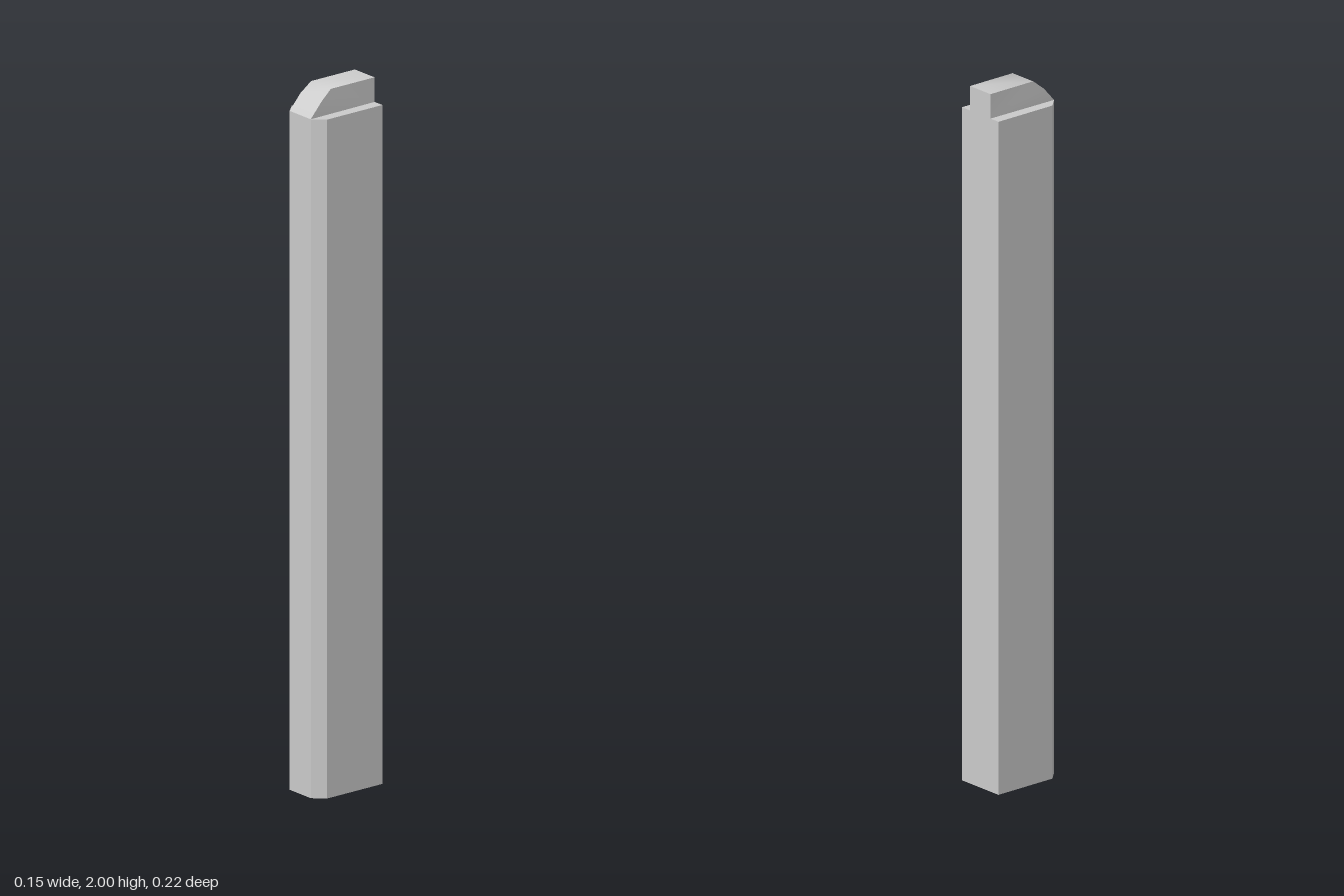
import * as THREE from 'three';
import { toCreasedNormals } from 'three/addons/utils/BufferGeometryUtils.js';

const material = new THREE.MeshStandardMaterial({ color: 0xcccccc });
const shoulder = 1.93;   // height of the post below the tongue
const halfDepth = 0.112;

function extrude(points, depth) {
  const shape = new THREE.Shape(points.map(([x, y]) => new THREE.Vector2(x, y)));
  return new THREE.ExtrudeGeometry(shape, { depth, bevelEnabled: false });
}

function addMesh(group, name, geometry) {
  const mesh = new THREE.Mesh(geometry, material);
  mesh.name = name;
  group.add(mesh);
}

export function createModel() {
  const group = new THREE.Group();
  group.name = 'post';

  // Post: plan outline with two chamfered front corners
  const post = extrude([
    [-0.075, halfDepth], [-0.075, -0.08], [-0.045, -halfDepth],
    [0.045, -halfDepth], [0.075, -0.08], [0.075, halfDepth],
  ], shoulder);
  post.rotateX(-Math.PI / 2);
  addMesh(group, 'shaft', toCreasedNormals(post, 0.5));

  // Tongue on top: side profile with a rounded front slope
  const tongue = extrude([
    [-halfDepth, shoulder], [halfDepth, shoulder],
    [0.075, 1.972], [0.04, 2], [-halfDepth, 2],
  ], 2);
  tongue.translate(0, 0, -1).rotateY(-Math.PI / 2);
  // The sides flare slightly towards the front
  const p = tongue.attributes.position;
  for (let i = 0; i < p.count; i++) {
    const flare = THREE.MathUtils.clamp((p.getZ(i) - 0.04) / 0.035, 0, 1);
    p.setX(i, p.getX(i) * (0.042 + 0.003 * flare));
  }
  addMesh(group, 'topTongue', toCreasedNormals(tongue, 0.8));

  return group;
}
